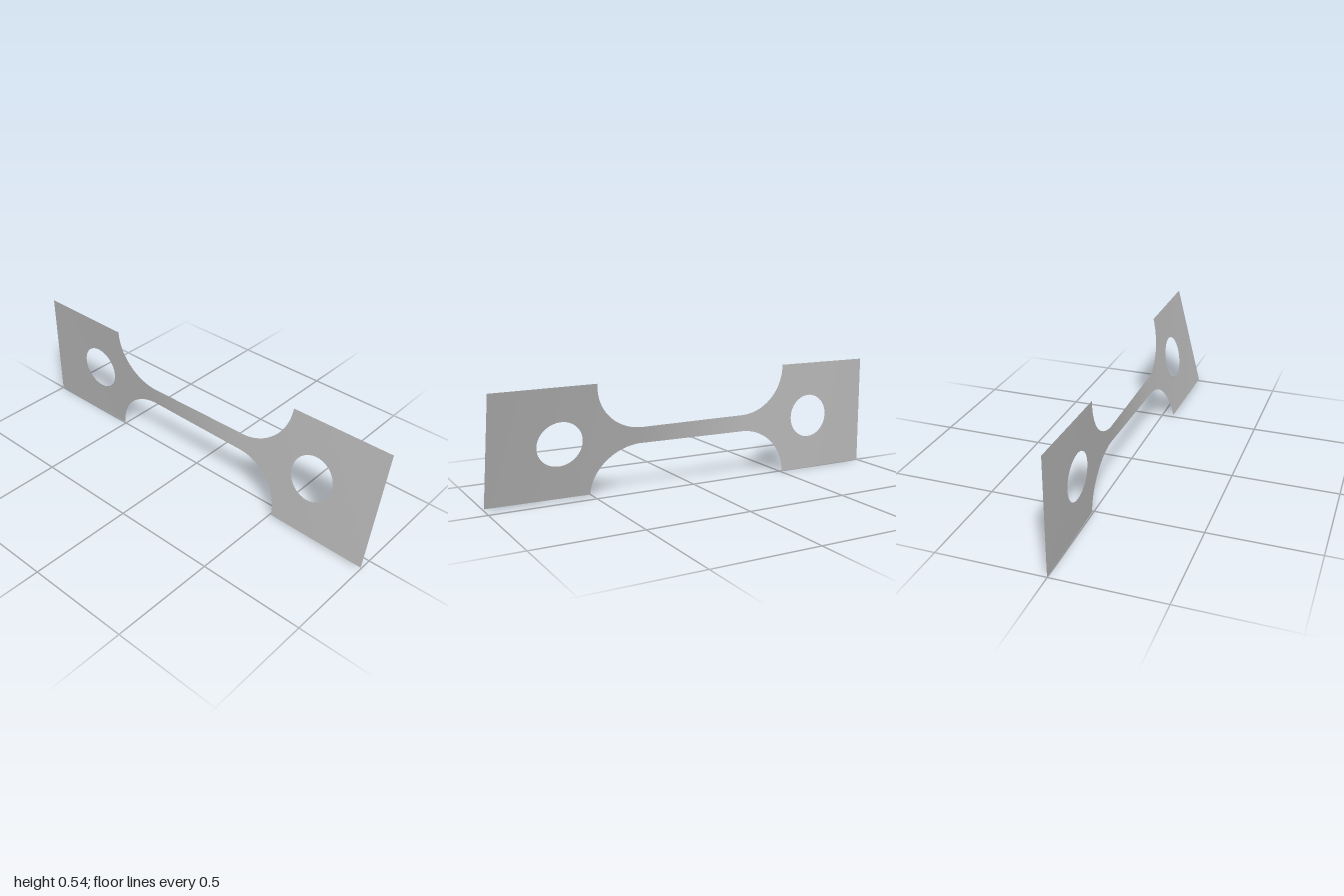
import * as THREE from 'three';

const CENTRE_Y = 0.271, GRIP = 0.271, NECK = 0.04;
const NECK_END = 0.27, SHOULDER = 0.51;
const HOLE_X = 0.67, HOLE_R = 0.107;

// Half height of the strip: narrow neck, rounded fillet, wide grip
function outerHalf(x) {
  const a = Math.abs(x);
  if (a <= NECK_END) return NECK;
  if (a >= SHOULDER) return GRIP;
  const t = (a - NECK_END) / (SHOULDER - NECK_END);
  return GRIP - (GRIP - NECK) * Math.sqrt(1 - t * t);
}

// Half height of the round hole, zero elsewhere
function holeHalf(x) {
  const d = Math.abs(x) - HOLE_X;
  return Math.sqrt(Math.max(0, HOLE_R * HOLE_R - d * d));
}

// Twist angle along the length, in degrees
const TWIST = [[-1, -0.2], [-0.5, -1.2], [-0.27, -1], [0.27, 12], [0.51, 12.5], [1, 14.3]];
function twist(x) {
  let i = 0;
  while (i < TWIST.length - 2 && x > TWIST[i + 1][0]) i++;
  const [x0, a0] = TWIST[i], [x1, a1] = TWIST[i + 1];
  return THREE.MathUtils.degToRad(a0 + (a1 - a0) * (x - x0) / (x1 - x0));
}

// Columns bunched towards each break so the arcs stay round
function columns() {
  const half = [0, NECK_END, SHOULDER, HOLE_X - HOLE_R, HOLE_X + HOLE_R, 1];
  const breaks = [...half.slice(1).reverse().map(v => -v), ...half];
  const xs = [-1], n = 28;
  for (let b = 0; b < breaks.length - 1; b++) {
    for (let i = 1; i <= n; i++) {
      const t = (1 - Math.cos(Math.PI * i / n)) / 2;
      xs.push(breaks[b] + (breaks[b + 1] - breaks[b]) * t);
    }
  }
  return xs;
}

// One half of the sheet, above (side 1) or below (side -1) the centre line
function sheetHalf(side) {
  const xs = columns(), rows = 6, pos = [], norm = [], index = [];
  xs.forEach((x, i) => {
    const a = twist(x), h = holeHalf(x), H = outerHalf(x);
    const slope = (twist(Math.min(1, x + 0.01)) - twist(Math.max(-1, x - 0.01))) / 0.02;
    for (let j = 0; j <= rows; j++) {
      const v = side * (h + (H - h) * j / rows);
      pos.push(x, CENTRE_Y + v * Math.cos(a), -v * Math.sin(a));
      const n = new THREE.Vector3(v * slope, Math.sin(a), Math.cos(a)).normalize();
      norm.push(n.x, n.y, n.z);
      if (i === xs.length - 1 || j === rows) continue;
      const p = i * (rows + 1) + j, q = p + rows + 1;
      if (side > 0) index.push(p, q, q + 1, p, q + 1, p + 1);
      else index.push(p, q + 1, q, p, p + 1, q + 1);
    }
  });
  const g = new THREE.BufferGeometry();
  g.setAttribute('position', new THREE.Float32BufferAttribute(pos, 3));
  g.setAttribute('normal', new THREE.Float32BufferAttribute(norm, 3));
  g.setIndex(index);
  return g;
}

export function createModel() {
  const group = new THREE.Group();
  group.name = 'twistedTestStrip';
  const metal = new THREE.MeshStandardMaterial({ color: 0xb8b8b8, side: THREE.DoubleSide });
  metal.name = 'plain grey metal';
  for (const [name, side] of [['upperSheet', 1], ['lowerSheet', -1]]) {
    const mesh = new THREE.Mesh(sheetHalf(side), metal);
    mesh.name = name;
    group.add(mesh);
  }
  return group;
}
